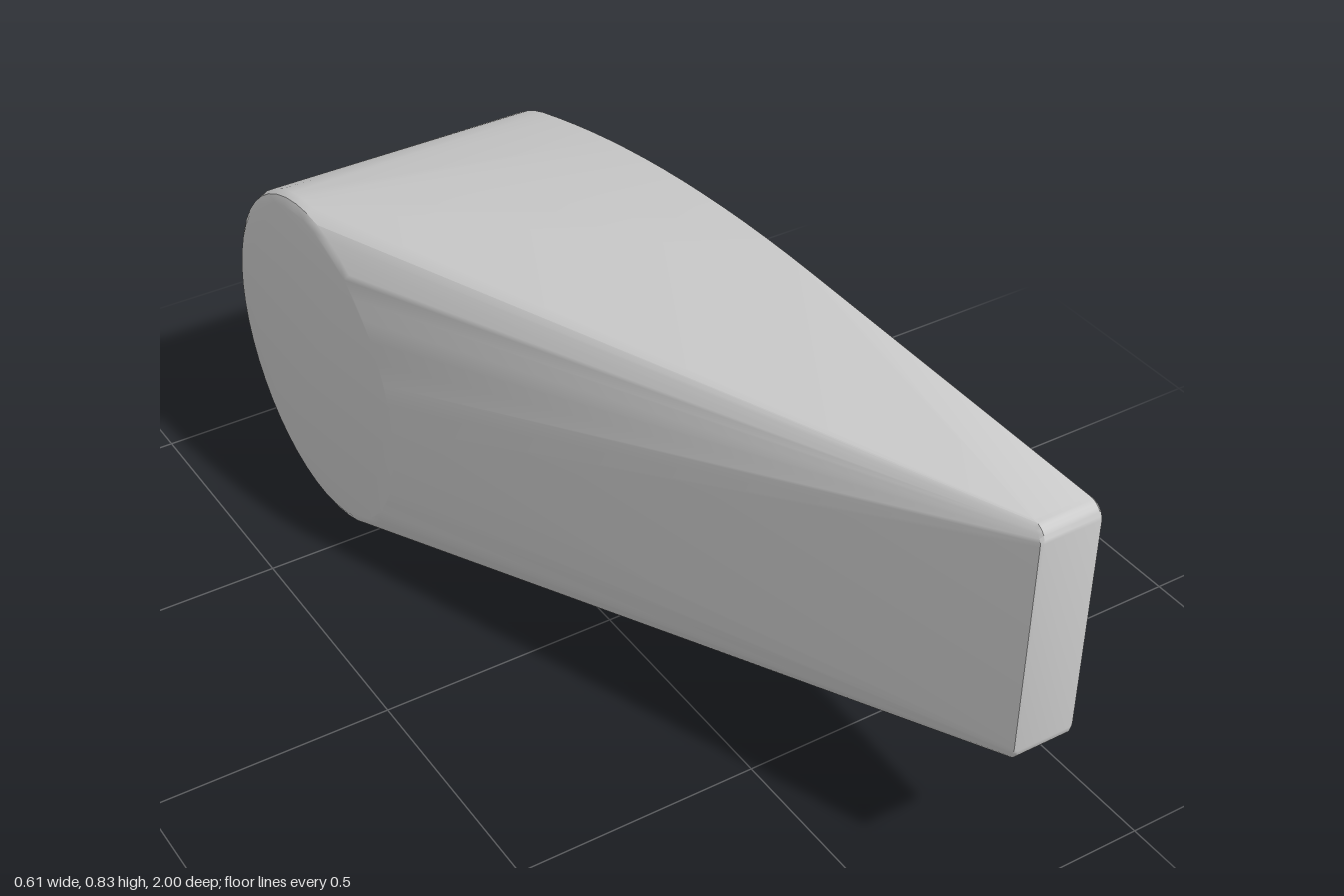
import * as THREE from 'three';
import { ConvexGeometry } from 'three/addons/geometries/ConvexGeometry.js';
import { toCreasedNormals } from 'three/addons/utils/BufferGeometryUtils.js';

const CZ = -0.64, CY = 0.36, R = 0.36; // rounded rear end

// points of an arc in the (z, y) plane
function arc(cz, cy, r, from, to, steps) {
  return Array.from({ length: steps + 1 }, (_, i) => {
    const a = THREE.MathUtils.degToRad(from + (to - from) * i / steps);
    return new THREE.Vector2(cz + r * Math.cos(a), cy + r * Math.sin(a));
  });
}

export function createModel() {
  const group = new THREE.Group();

  // blunt front edge with its two rounded corners
  const nose = [
    ...arc(0.97, 0.803, 0.03, 0, 90, 6),
    ...arc(0.97, 0.356, 0.03, 0, -79, 6),
  ];
  // sloping top, then the round rear end down to the underside
  const top = new THREE.QuadraticBezierCurve(
    new THREE.Vector2(0.2, 0.833), new THREE.Vector2(-0.3, 0.833), new THREE.Vector2(-0.745, 0.704),
  ).getPoints(14);
  const profile = [...nose, ...top, ...arc(CZ, CY, R, 107, 281, 32)];

  const points = [];
  const place = (outline, x, inset = 0) => {
    for (const p of outline) {
      // pull the outline in towards its middle for the soft edges
      const dir = new THREE.Vector2(p.x > 0.9 ? 0.9 : Math.max(p.x, CZ), p.x > 0.9 ? 0.58 : CY).sub(p).normalize();
      points.push(new THREE.Vector3(x, p.y + dir.y * inset, p.x + dir.x * inset));
    }
  };

  // broad flat side
  place(profile, 0.301);
  place(profile, 0.306, 0.005);
  // thin front strip
  place(nose, 0.186);
  place(nose, 0.18, 0.006);
  // round end face with a softened rim
  for (const [x, r] of [[-0.283, 0.358], [-0.298, 0.351], [-0.306, 0.337]]) {
    place(arc(CZ, CY, r, 0, 352.5, 47), x);
  }

  // one taut skin stretched over the sections
  const body = new THREE.Mesh(
    toCreasedNormals(new ConvexGeometry(points), 0.6),
    new THREE.MeshStandardMaterial({ color: 0xcccccc }),
  );
  body.name = 'taperedBody';
  group.add(body);
  return group;
}
